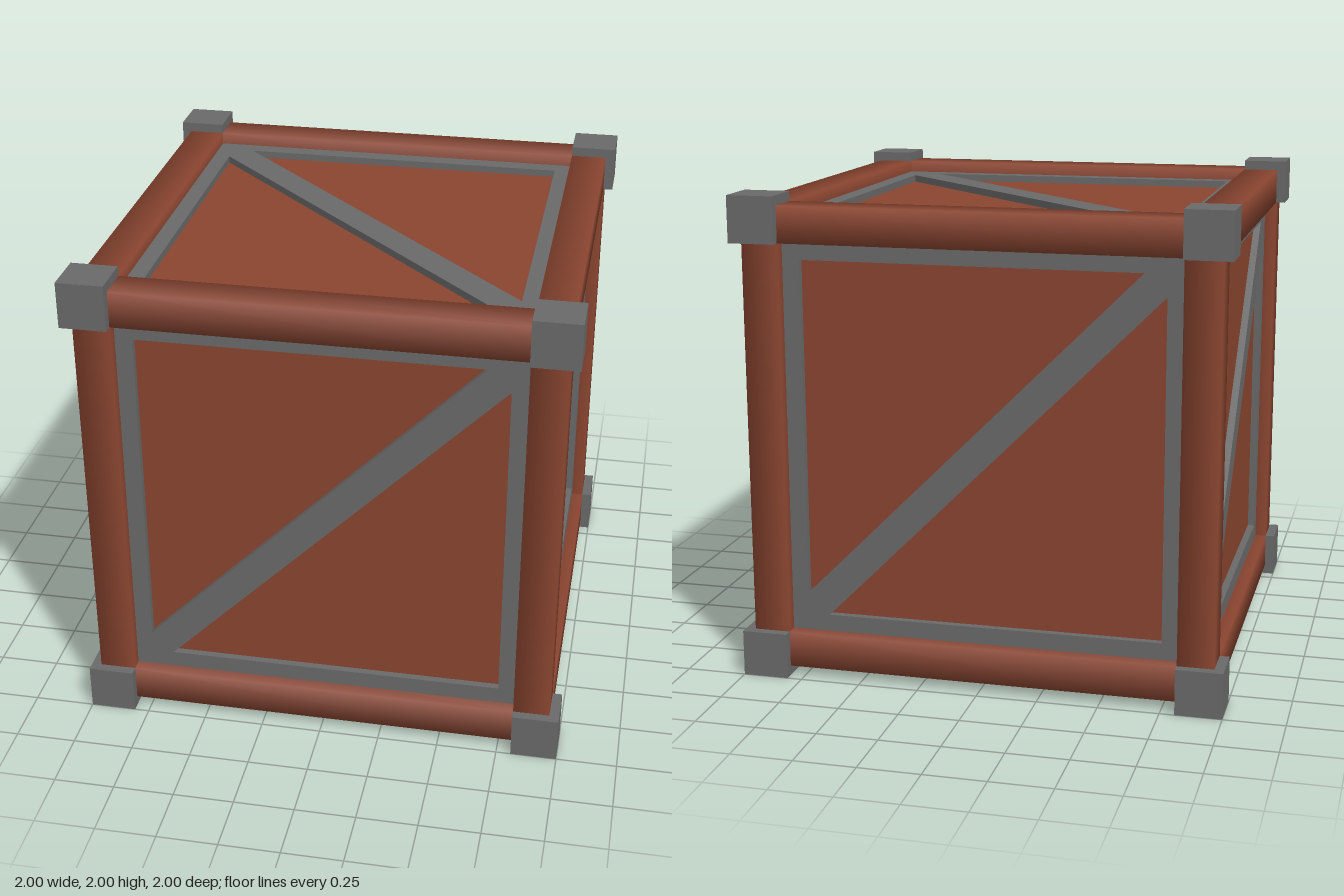
import * as THREE from 'three';

const CORNER = 0.19;            // corner block edge
const OUT = 0.96, IN = 0.81;    // outer and inner faces of the beams
const FACE = 0.91, PANEL = 0.88; // brace surface and panel surface

export function createModel() {
  const wood = new THREE.MeshStandardMaterial({ color: 0x8a4530 });
  const metal = new THREE.MeshStandardMaterial({ color: 0x6a6a6a });

  const crate = new THREE.Group();
  crate.name = 'crate';
  const body = new THREE.Group();
  body.name = 'crateBody';
  body.position.y = 1;
  crate.add(body);

  const add = (name, geometry, material) => {
    const mesh = new THREE.Mesh(geometry, material);
    mesh.name = name;
    body.add(mesh);
    return mesh;
  };

  // Inner box whose sides are the recessed panels
  add('panels', new THREE.BoxGeometry(2 * PANEL, 2 * PANEL, 2 * PANEL), wood);

  // Corner blocks
  const block = new THREE.BoxGeometry(CORNER, CORNER, CORNER);
  const c = 1 - CORNER / 2;
  for (const x of [-c, c]) for (const y of [-c, c]) for (const z of [-c, c]) {
    add('cornerBlock', block, metal).position.set(x, y, z);
  }

  // Square beams with softened shading, four along each axis
  const beam = new THREE.CylinderGeometry(
    (OUT - IN) / Math.SQRT2, (OUT - IN) / Math.SQRT2, 2 * IN + 0.02, 4, 1);
  beam.rotateY(Math.PI / 4);
  const b = (OUT + IN) / 2;
  for (const u of [-b, b]) for (const v of [-b, b]) {
    add('post', beam, wood).position.set(u, 0, v);
    const rail = add('crossRail', beam, wood);
    rail.rotation.z = Math.PI / 2;
    rail.position.set(0, u, v);
    const side = add('sideRail', beam, wood);
    side.rotation.x = Math.PI / 2;
    side.position.set(u, v, 0);
  }

  // Metal frame with a diagonal brace: a square with two triangular holes
  const path = (pts) => pts.map(([x, y]) => new THREE.Vector2(x, y));
  const shape = new THREE.Shape(path([[-IN, -IN], [IN, -IN], [IN, IN], [-IN, IN]]));
  const e = 0.74, d = 0.65;
  shape.holes.push(
    new THREE.Path(path([[-e, -d], [-e, e], [d, e]])),
    new THREE.Path(path([[-d, -e], [e, d], [e, -e]])));
  const brace = new THREE.ExtrudeGeometry(shape, { depth: FACE - PANEL + 0.02, bevelEnabled: false });
  brace.translate(0, 0, PANEL - 0.02);

  // Four sides, then top and bottom
  for (let i = 0; i < 4; i++) {
    add('sideBrace', brace, metal).rotation.y = i * Math.PI / 2;
  }
  add('topBrace', brace, metal).rotation.set(-Math.PI / 2, 0, Math.PI / 2);
  add('bottomBrace', brace, metal).rotation.x = Math.PI / 2;

  return crate;
}
